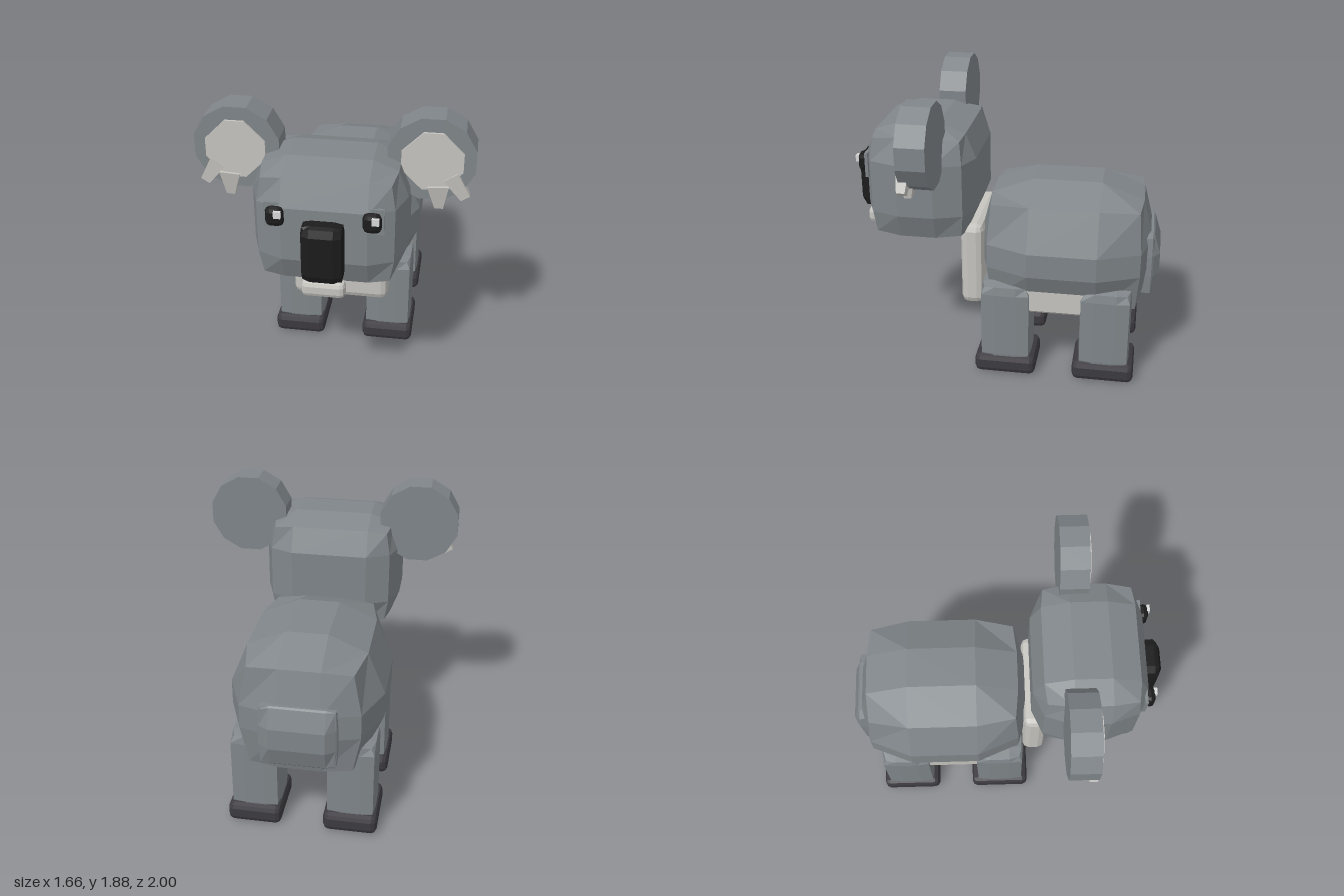
import * as THREE from 'three';

const mat = (name, color) => Object.assign(new THREE.MeshStandardMaterial({ color }), { name });

// Give every face its own normal
function faceted(geometry) {
  const g = geometry.index ? geometry.toNonIndexed() : geometry;
  g.computeVertexNormals();
  return g;
}

// Puffed box: a 3x3x3 box whose face, edge and corner vertices have their own extents
function puff(full, edge, corner, third) {
  const g = new THREE.BoxGeometry(2, 2, 2, 3, 3, 3);
  const p = g.attributes.position;
  for (let i = 0; i < p.count; i++) {
    const v = [p.getX(i), p.getY(i), p.getZ(i)];
    const outer = v.filter((c) => Math.abs(c) > 0.9).length;
    const reach = [full, edge, corner][outer - 1];
    const out = v.map((c, k) => Math.sign(c) * (Math.abs(c) > 0.9 ? reach[k] : third[k]));
    p.setXYZ(i, ...out);
  }
  return faceted(g);
}

// Box with softened edges, b is the width of the softening
function softBox(hx, hy, hz, b) {
  const h = [hx, hy, hz];
  const inset = (k) => h.map((c) => c - b * k);
  return puff(h, inset(0.3), inset(0.45), inset(1));
}

export function createModel() {
  const gray = mat('gray fur', 0x80868a);
  const light = mat('pale fur', 0xc6c4bf);
  const dark = mat('dark paw', 0x3c3a3f);
  const black = mat('black', 0x1c1c1c);
  const white = mat('eye glint', 0xd8d8d8);

  const model = new THREE.Group();
  model.name = 'bear';
  const add = (name, geometry, material, x, y, z) => {
    const m = new THREE.Mesh(geometry, material);
    m.name = name;
    m.position.set(x, y, z);
    model.add(m);
    return m;
  };

  // Body, belly, chest and tail
  add('body', puff([0.48, 0.455, 0.56], [0.37, 0.35, 0.49], [0.32, 0.335, 0.47], [0.13, 0.08, 0.22]),
    gray, 0, 0.815, -0.39);
  add('belly', puff([0.43, 0.21, 0.36], [0.41, 0.1, 0.32], [0.38, 0.1, 0.3], [0.13, 0.08, 0.2]),
    light, 0, 0.55, -0.37);
  add('chest', softBox(0.315, 0.285, 0.075, 0.045), light, 0, 0.705, 0.21);
  add('tail', puff([0.24, 0.205, 0.1], [0.23, 0.195, 0.06], [0.22, 0.18, 0.055], [0.17, 0.07, 0.05]),
    gray, 0, 0.75, -0.9);

  // Head, nose and chin
  add('head', puff([0.46, 0.39, 0.355], [0.4, 0.33, 0.29], [0.375, 0.315, 0.275], [0.25, 0.17, 0.115]),
    gray, 0, 1.262, 0.535);
  add('nose', puff([0.122, 0.185, 0.075], [0.115, 0.175, 0.055], [0.1, 0.165, 0.045], [0.07, 0.13, 0.03]),
    black, 0, 1.185, 0.925);
  add('chin', softBox(0.13, 0.052, 0.045, 0.03), light, 0, 0.932, 0.908);

  // Inner ear outline: a square with cut corners
  const inner = new THREE.Shape();
  const r = 0.18, f = 0.057;
  [[-f, -r], [f, -r], [r, -f], [r, f], [f, r], [-f, r], [-r, f], [-r, -f]]
    .forEach(([x, y], i) => (i ? inner.lineTo(x, y) : inner.moveTo(x, y)));

  for (const s of [1, -1]) {
    const side = s > 0 ? 'left' : 'right';

    // Ears
    const disc = new THREE.CylinderGeometry(0.265, 0.265, 0.18, 12);
    disc.rotateY(Math.PI / 12).rotateX(Math.PI / 2);
    add(side + 'Ear', faceted(disc), gray, s * 0.575, 1.62, 0.45);
    add(side + 'InnerEar', faceted(new THREE.ExtrudeGeometry(inner, { depth: 0.055, bevelEnabled: false })),
      light, s * 0.58, 1.615, 0.5);

    // Ear tufts: tapered wedges [top x, top y, tip x, tip y, top width, tip width]
    for (const [x0, y0, x1, y1, w0, w1] of [
      [0.69, 1.525, 0.782, 1.385, 0.1, 0.06],
      [0.62, 1.46, 0.63, 1.305, 0.125, 0.05],
    ]) {
      const len = Math.hypot(x1 - x0, y1 - y0);
      const g = new THREE.CylinderGeometry(w0 * Math.SQRT1_2, w1 * Math.SQRT1_2, len, 4);
      g.rotateY(Math.PI / 4).scale(1, 1, 0.85);
      const tuft = add(side + 'EarTuft', faceted(g), light, s * (x0 + x1) / 2, (y0 + y1) / 2, 0.52);
      tuft.rotation.z = s * Math.atan2(x1 - x0, y0 - y1);
    }

    // Eyes: socket plate, eyeball and glint
    add(side + 'EyeSocket', faceted(new THREE.BoxGeometry(0.13, 0.16, 0.02)), gray, s * 0.28, 1.38, 0.868);
    add(side + 'Eye', softBox(0.054, 0.062, 0.03, 0.03), black, s * 0.278, 1.387, 0.9);
    add(side + 'EyeGlint', faceted(new THREE.BoxGeometry(0.042, 0.042, 0.02)),
      white, s * 0.278 + 0.022, 1.413, 0.932);

    // Legs and paws
    for (const [end, z] of [['front', -0.03], ['back', -0.675]]) {
      const name = end + side[0].toUpperCase() + side.slice(1);
      add(name + 'Leg', puff([0.155, 0.29, 0.165], [0.145, 0.275, 0.155], [0.125, 0.265, 0.135], [0.06, 0.22, 0.07]),
        gray, s * 0.303, 0.355, z);
      add(name + 'Paw', softBox(0.171, 0.064, 0.2, 0.035), dark, s * 0.306, 0.064, z);
    }
  }
  return model;
}
